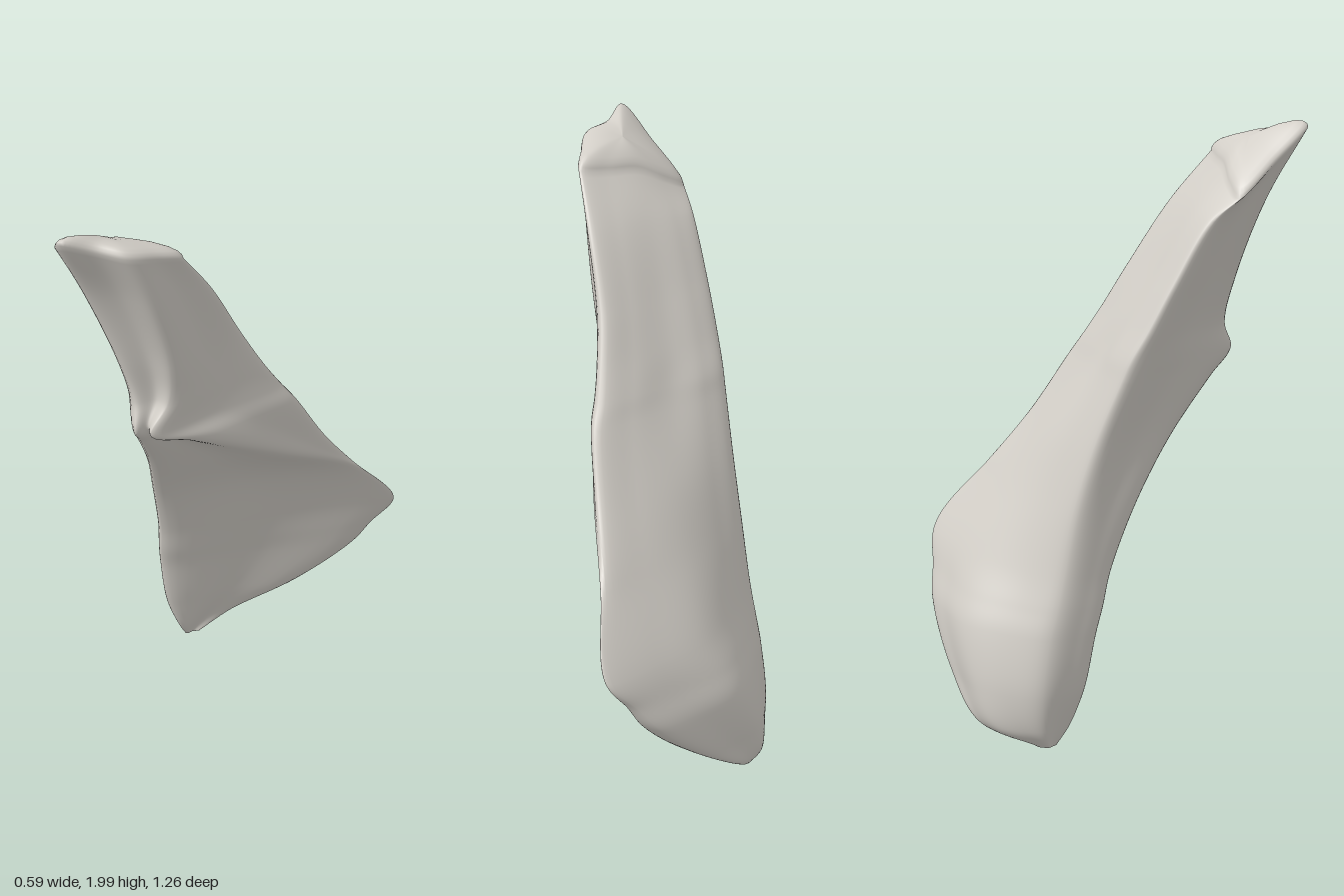
import * as THREE from 'three';

// Edge lines running from the bottom of the blade to the top, [x, y, z] per station.
const frontRidge = [
  [-0.2, 0.005, -0.115], [-0.185, 0.07, -0.075], [-0.19, 0.2, -0.025], [-0.18, 0.38, 0.01],
  [-0.163, 0.47, 0.03], [-0.14, 0.58, 0.05], [-0.085, 0.8, 0.125], [0, 1.0, 0.22], [0.08, 1.18, 0.335],
  [0.12, 1.265, 0.393], [0.1, 1.35, 0.375], [0.08, 1.5, 0.41], [0.05, 1.75, 0.505], [0.075, 1.975, 0.628]];
const sideRidge = [
  [-0.18, 0.005, -0.16], [-0.13, 0.07, -0.27], [0.02, 0.2, -0.43], [0.168, 0.38, -0.55],
  [0.215, 0.47, -0.57], [0.283, 0.6, -0.595], [0.27, 0.8, -0.43], [0.255, 1.0, -0.12], [0.2, 1.19, 0.22],
  [0.165, 1.26, 0.37], [0.185, 1.36, 0.315], [0.205, 1.5, 0.325], [0.215, 1.75, 0.41], [0.21, 1.93, 0.49]];
const backEdge = [
  [-0.2, 0.005, -0.2], [-0.195, 0.065, -0.37], [-0.055, 0.2, -0.5], [0.11, 0.38, -0.6],
  [0.18, 0.47, -0.615], [0.262, 0.58, -0.628], [0.26, 0.8, -0.455], [0.262, 1.0, -0.29], [0.258, 1.2, -0.155],
  [0.24, 1.27, -0.105], [0.225, 1.36, -0.045], [0.212, 1.5, 0.04], [0.228, 1.72, 0.18], [0.245, 1.88, 0.31]];
const backMiddle = [
  [-0.23, 0.005, -0.17], [-0.26, 0.07, -0.3], [-0.235, 0.2, -0.37], [-0.165, 0.38, -0.425],
  [-0.12, 0.47, -0.42], [-0.06, 0.58, -0.4], [-0.02, 0.8, -0.27], [0, 1.0, -0.16], [0, 1.2, -0.03],
  [0, 1.27, 0.01], [0, 1.36, 0.06], [0.01, 1.5, 0.14], [0.035, 1.72, 0.265], [0.055, 1.85, 0.37]];
const outerEdge = [
  [-0.245, 0.01, -0.13], [-0.272, 0.07, -0.14], [-0.292, 0.2, -0.14], [-0.28, 0.38, -0.12],
  [-0.267, 0.47, -0.1], [-0.25, 0.58, -0.08], [-0.225, 0.8, -0.04], [-0.205, 1.0, 0.02], [-0.19, 1.2, 0.1],
  [-0.185, 1.27, 0.13], [-0.175, 1.36, 0.18], [-0.155, 1.5, 0.25], [-0.12, 1.7, 0.36], [-0.1, 1.77, 0.44]];

const ROWS = 130, SEGS = 80;
// How far the middle of each side is pushed out (+) or hollowed (-) relative to the centre.
const bulge = [-0.13, 0.05, 0.08, 0.12, 0.05];

function centreOf(points) {
  return points.reduce((sum, p) => sum.add(p), new THREE.Vector3()).divideScalar(points.length);
}

// One smooth closed cross-section through the five edge lines and their side middles.
function crossSection(corners) {
  const centre = centreOf(corners);
  const controls = [];
  corners.forEach((p, i) => {
    const next = corners[(i + 1) % corners.length];
    const middle = p.clone().add(next).multiplyScalar(0.5);
    controls.push(p, middle.add(middle.clone().sub(centre).multiplyScalar(bulge[i])));
  });
  const curve = new THREE.CatmullRomCurve3(controls, true, 'centripetal');
  return Array.from({ length: SEGS }, (_, j) => curve.getPoint(j / SEGS));
}

// Rounded closing rings that shrink to the centre of an end section.
function capRings(ring, height) {
  const centre = centreOf(ring);
  return [0.98, 0.92, 0.8, 0.55, 0.28, 0.001].map((s) => ring.map((p) => {
    const q = centre.clone().lerp(p, s);
    q.y += height * Math.sqrt(1 - s * s);
    return q;
  }));
}

function boneGeometry() {
  const curves = [frontRidge, sideRidge, backEdge, backMiddle, outerEdge].map((line) =>
    new THREE.CatmullRomCurve3(line.map((p) => new THREE.Vector3(...p)), false, 'centripetal'));
  const body = [];
  for (let i = 0; i <= ROWS; i++) body.push(crossSection(curves.map((c) => c.getPoint(i / ROWS))));
  const rings = [...capRings(body[0], -0.006).reverse(), ...body, ...capRings(body[ROWS], 0.06)];

  const index = [];
  for (let i = 0; i < rings.length - 1; i++) {
    for (let j = 0; j < SEGS; j++) {
      const a = i * SEGS + j, b = i * SEGS + (j + 1) % SEGS;
      index.push(a, b, a + SEGS, b, b + SEGS, a + SEGS);
    }
  }
  const geometry = new THREE.BufferGeometry().setFromPoints(rings.flat());
  geometry.setIndex(index);
  geometry.computeVertexNormals();
  return geometry;
}

export function createModel() {
  const model = new THREE.Group();
  model.name = 'bone';
  const boneGrey = new THREE.MeshStandardMaterial({ color: 0xd2cec7 });
  boneGrey.name = 'boneGrey';
  const blade = new THREE.Mesh(boneGeometry(), boneGrey);
  blade.name = 'boneBlade';
  model.add(blade);
  return model;
}
